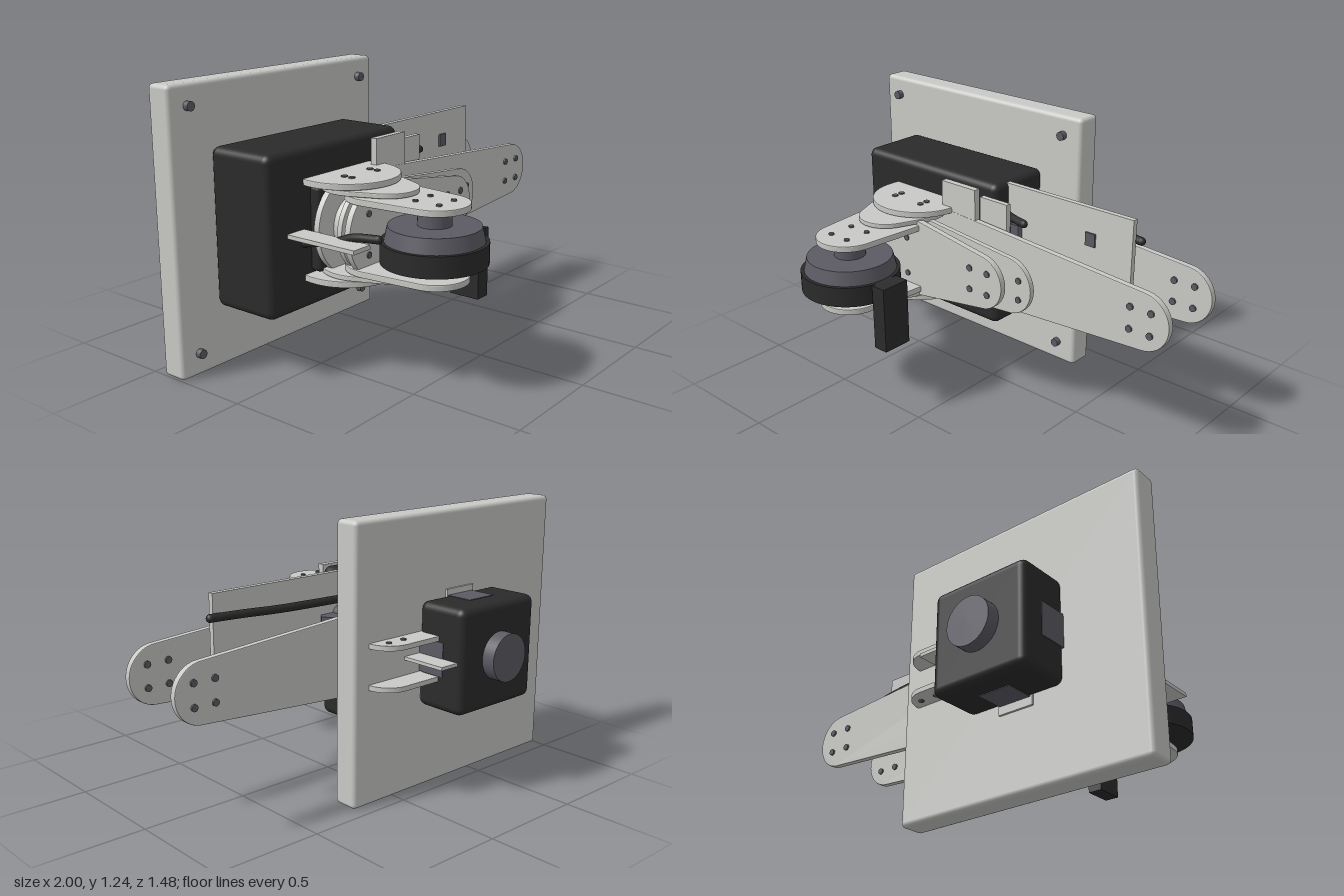
import * as THREE from 'three';
import { RoundedBoxGeometry } from 'three/addons/geometries/RoundedBoxGeometry.js';

const CX = -0.385, CY = 0.625; // joint axis

export function createModel() {
  const model = new THREE.Group();
  const mat = (name, color) => { const m = new THREE.MeshStandardMaterial({ color }); m.name = name; return m; };
  const light = mat('light grey', 0xc9c9c6), black = mat('black', 0x2b2b2b), grey = mat('dark grey', 0x5c5b64);

  const add = (name, geo, m, x = 0, y = 0, z = 0) => {
    const mesh = new THREE.Mesh(geo, m);
    mesh.name = name;
    mesh.position.set(x, y, z);
    model.add(mesh);
    return mesh;
  };
  // box from its min and max corners, optionally rounded
  const box = (name, m, x0, x1, y0, y1, z0, z1, r = 0) => {
    const s = [x1 - x0, y1 - y0, z1 - z0];
    const g = r ? new RoundedBoxGeometry(...s, 4, r) : new THREE.BoxGeometry(...s);
    return add(name, g, m, (x0 + x1) / 2, (y0 + y1) / 2, (z0 + z1) / 2);
  };
  // cylinder along axis 'y' or 'z', centred at x, y, z
  const disc = (name, m, axis, r, h, x, y, z, rTop = r) => {
    const g = new THREE.CylinderGeometry(rTop, r, h, 48);
    if (axis === 'z') g.rotateX(Math.PI / 2);
    return add(name, g, m, x, y, z);
  };
  // outline wrapped around two circles, second one further along +x
  const hull = (len, r0, r1, t) => {
    const a = Math.acos((r0 - r1) / len), s = new THREE.Shape();
    s.absarc(0, 0, r0, a, 2 * Math.PI - a, false);
    s.absarc(len, 0, r1, -a, a, false);
    s.closePath();
    return new THREE.ExtrudeGeometry(s, {
      depth: t - 0.008, bevelEnabled: true, bevelThickness: 0.004, bevelSize: 0.004,
      bevelOffset: -0.004, bevelSegments: 2, curveSegments: 32,
    }).translate(0, 0, 0.004);
  };
  const cable = (name, pts, r) => {
    const v = pts.map(p => new THREE.Vector3(...p));
    add(name, new THREE.TubeGeometry(new THREE.CatmullRomCurve3(v), 32, r, 12), black);
    for (const p of [v[0], v[v.length - 1]]) add(name + 'End', new THREE.SphereGeometry(r, 12, 8), black, p.x, p.y, p.z);
  };
  const screws = (axis, r, xs, ys, w) => {
    for (const a of xs) for (const b of ys) {
      if (axis === 'z') disc('screw', grey, 'z', r, 0.016, a, b, w);
      else disc('screw', grey, 'y', r, 0.016, a, w, b);
    }
  };

  // wall plate with corner bolts
  box('basePlate', light, -1, 0.24, 0, 1.24, -0.44, -0.32, 0.02);
  for (const x of [-0.905, 0.14]) for (const y of [0.1, 1.15]) disc('bolt', grey, 'z', 0.02, 0.03, x, y, -0.31);

  // front housing and the drive beside it
  box('housing', black, -0.8, 0.03, 0.28, 0.97, -0.32, 0.01, 0.035);
  box('housingFrontPlate', black, -0.56, -0.18, 0.44, 0.81, 0, 0.06, 0.02);
  box('sideDrive', grey, -0.1, 0.06, 0.44, 0.81, -0.28, 0.01, 0.04);
  const drive = new THREE.Shape([[0.03, -0.05], [0.1, -0.06], [0.15, -0.13], [0.08, -0.23], [0.03, -0.24]].map(p => new THREE.Vector2(...p)));
  add('sideDriveNose', new THREE.ExtrudeGeometry(drive, { depth: 0.3, bevelEnabled: false }).rotateX(Math.PI / 2), grey, 0, 0.78, 0);

  // rear motor with side panels and round cap
  box('rearMotor', black, -0.62, -0.145, 0.39, 0.86, -0.68, -0.43, 0.035);
  disc('rearCap', grey, 'z', 0.107, 0.06, CX, CY, -0.71);
  box('rearPanelTall', grey, -0.46, -0.305, 0.387, 0.863, -0.575, -0.44);
  box('rearPanelWide', grey, -0.623, -0.142, 0.55, 0.7, -0.575, -0.44);
  box('rearMountStrip', light, -0.47, -0.3, 0.35, 0.89, -0.45, -0.435);
  box('rearFin', light, -0.15, -0.05, 0.615, 0.63, -0.655, -0.44);
  for (const s of [-1, 1]) {
    const y = CY + s * 0.195;
    const arc = hull(0.01, 0.245, 0.245, 0.025).rotateX(Math.PI / 2);
    add('rearDisc', arc, light, CX, y + 0.0125, -0.335);
    const tongue = new THREE.Shape();
    tongue.moveTo(-0.16, -0.44);
    tongue.lineTo(-0.16, -0.55);
    tongue.lineTo(0.05, -0.55);
    tongue.absarc(0.05, -0.44, 0.11, -Math.PI / 2, 0, false);
    const g = new THREE.ExtrudeGeometry(tongue, { depth: 0.022, bevelEnabled: false, curveSegments: 20 }).rotateX(Math.PI / 2);
    add('rearTongue', g, light, 0, CY + s * 0.09 + 0.011, 0);
    screws('y', 0.012, [0.01, 0.095], [-0.49], CY + s * 0.09 + s * 0.009);
  }

  // tapered arm plates, from rear to front: [name, z, length, wide radius, tip radius, thickness]
  const plates = [
    ['rearArm', -0.265, 1.255, 0.215, 0.13, 0.03],
    ['frontArm', 0.062, 1.255, 0.215, 0.13, 0.03],
    ['middleLink', 0.165, 0.635, 0.19, 0.13, 0.026],
    ['frontLink', 0.217, 0.525, 0.205, 0.125, 0.03],
  ];
  for (const [name, z, len, r0, r1, t] of plates) add(name, hull(len, r0, r1, t), light, CX, CY, z);
  for (const z of [-0.265, -0.235, 0.062, 0.092]) screws('z', 0.015, [0.815, 0.915], [0.575, 0.675], z);
  screws('z', 0.015, [0.085, 0.185], [0.575, 0.675], 0.244);
  screws('z', 0.014, [-0.47, -0.3], [0.535, 0.71], 0.244);
  screws('z', 0.014, [0.315], [0.575, 0.665], 0.19);
  disc('jointHub', light, 'z', 0.125, 0.17, CX, CY, 0.14);
  disc('linkHub', light, 'z', 0.08, 0.14, 0.13, CY, 0.14);

  // stacked horizontal brackets, mirrored above and below the joint
  for (const s of [-1, 1]) {
    // name, height offset, z start, length, start radius, end radius, thickness
    for (const [name, dy, z, len, r0, r1, t] of [
      ['jointDisc', 0.205, 0.06, 0.01, 0.22, 0.22, 0.028],
      ['wristDisc', 0.178, 0.15, 0.13, 0.18, 0.13, 0.022],
      ['wristTongue', 0.15, 0.26, 0.26, 0.165, 0.14, 0.028],
    ]) {
      const g = hull(len, r0, r1, t).rotateZ(Math.PI / 2).rotateX(Math.PI / 2);
      add(name, g, light, CX, CY + s * dy + t / 2, z);
    }
    const dy = y => CY + s * y;
    screws('y', 0.014, [-0.465, -0.3], [0.115, 0.155], dy(0.216));
    screws('y', 0.012, [-0.435, -0.335], [0.325, 0.455, 0.57], dy(0.163));
  }

  // wrist motor with its hanging block
  disc('wristMotor', black, 'y', 0.22, 0.09, CX, 0.585, 0.515);
  disc('wristMotorTop', grey, 'y', 0.205, 0.065, CX, 0.66, 0.515, 0.19);
  disc('wristSpindle', grey, 'y', 0.07, 0.3, CX, CY, 0.515);
  box('hangingBlock', black, -0.17, -0.1, 0.33, 0.63, 0.445, 0.585);

  // circuit boards
  box('mainBoard', light, -0.02, 0.7, 0.62, 0.962, -0.1, -0.075);
  box('boardChip', grey, 0.465, 0.515, 0.79, 0.85, -0.075, -0.066);
  box('smallBoard', light, -0.225, -0.025, 0.7, 0.96, 0.06, 0.09);
  box('tinyBoard', light, -0.025, 0.13, 0.7, 0.92, 0.03, 0.055);
  box('sideBoard', light, -0.7, -0.6, 0.614, 0.632, 0.0, 0.36);

  // cables
  cable('longCable', [[0, 0.85, -0.15], [0.4, 0.86, -0.15], [0.58, 0.865, -0.13], [0.72, 0.865, -0.11]], 0.018);
  cable('shortCable', [[0, 0.84, -0.06], [0.1, 0.835, -0.015], [0.19, 0.835, 0.01]], 0.018);
  cable('sideCable', [[-0.6, 0.57, 0], [-0.6, 0.61, 0.18], [-0.6, 0.645, 0.28], [-0.6, 0.66, 0.4]], 0.018);

  return model;
}
